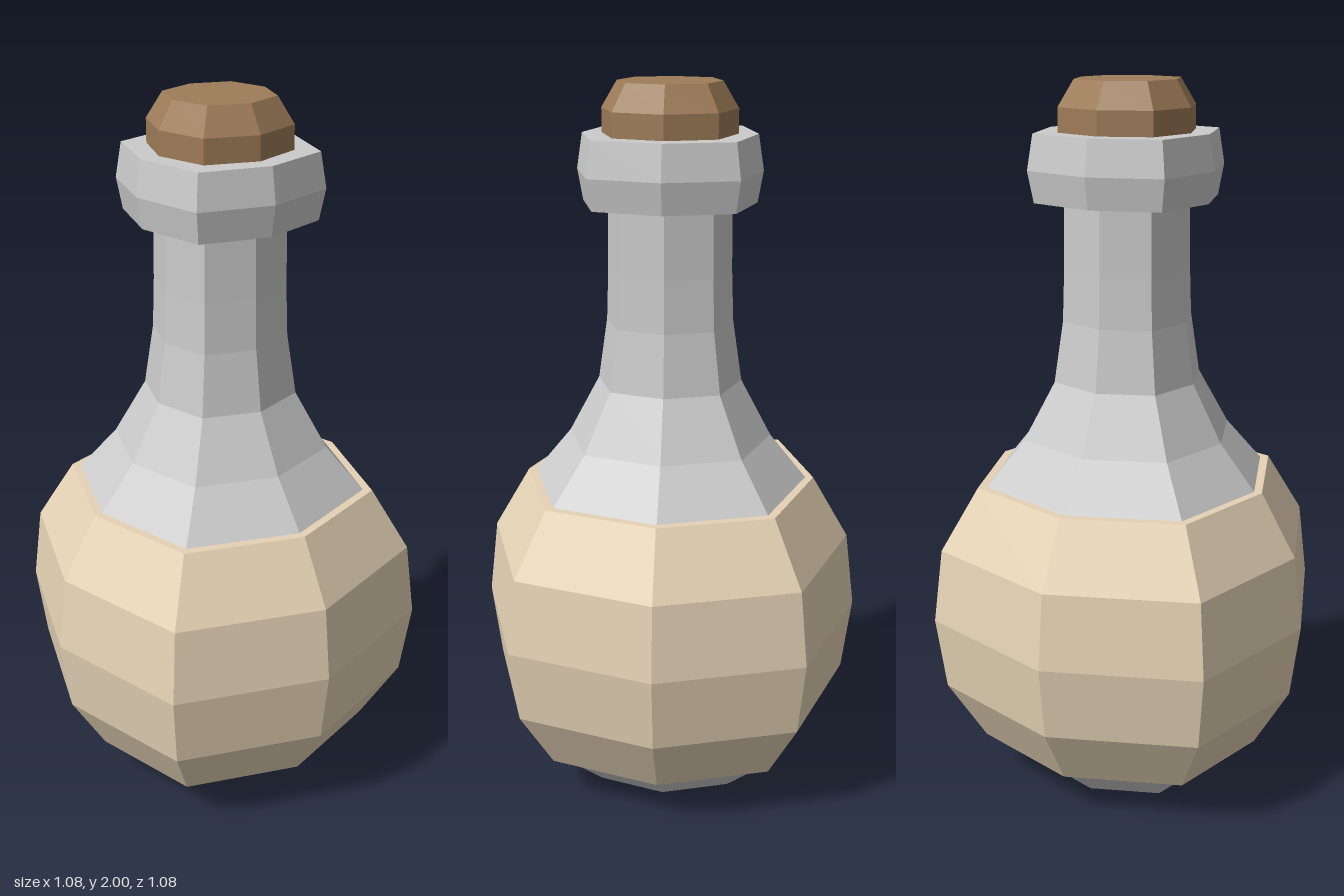
import * as THREE from 'three';

// Eight-sided turned part; the corners between the axes are moved out to kx, kz times the radius.
function turned(name, profile, color, kx, kz) {
  const points = profile.map(([r, y]) => new THREE.Vector2(r, y));
  const geometry = new THREE.LatheGeometry(points, 8);
  const pos = geometry.attributes.position;
  for (let i = 0; i < pos.count; i++) {
    const side = Math.floor(i / points.length);
    if (side % 2 === 1) {
      pos.setX(i, pos.getX(i) * kx * Math.SQRT2);
      pos.setZ(i, pos.getZ(i) * kz * Math.SQRT2);
    }
  }
  const material = new THREE.MeshStandardMaterial({ color, flatShading: true });
  const mesh = new THREE.Mesh(geometry, material);
  mesh.name = name;
  return mesh;
}

export function createModel() {
  const group = new THREE.Group();
  group.name = 'bottle';

  // Glass body: base, hidden bulb and slender neck
  group.add(turned('glassBody', [
    [0, 0], [0.25, 0], [0.385, 0.13], [0.485, 0.31], [0.515, 0.52], [0.485, 0.73],
    [0.387, 0.905], [0.285, 1.03], [0.2, 1.19], [0.175, 1.36], [0.17, 1.5], [0.168, 1.7],
  ], 0xcccccc, 0.765, 0.745));

  // Wrap around the bulb, with narrow flat rims above and below
  group.add(turned('bellyWrap', [
    [0.37, 0.13], [0.41, 0.13], [0.512, 0.31], [0.538, 0.52], [0.512, 0.73],
    [0.41, 0.905], [0.37, 0.905],
  ], 0xe5d3b5, 0.768, 0.748));

  // Collar at the mouth
  group.add(turned('collar', [
    [0.1, 1.685], [0.235, 1.685], [0.25, 1.77], [0.235, 1.865], [0, 1.865],
  ], 0xcccccc, 0.79, 0.79));

  // Stopper
  group.add(turned('cork', [
    [0.182, 1.86], [0.182, 1.93], [0.14, 2], [0, 2],
  ], 0x9e7c58, 0.755, 0.75));

  return group;
}
